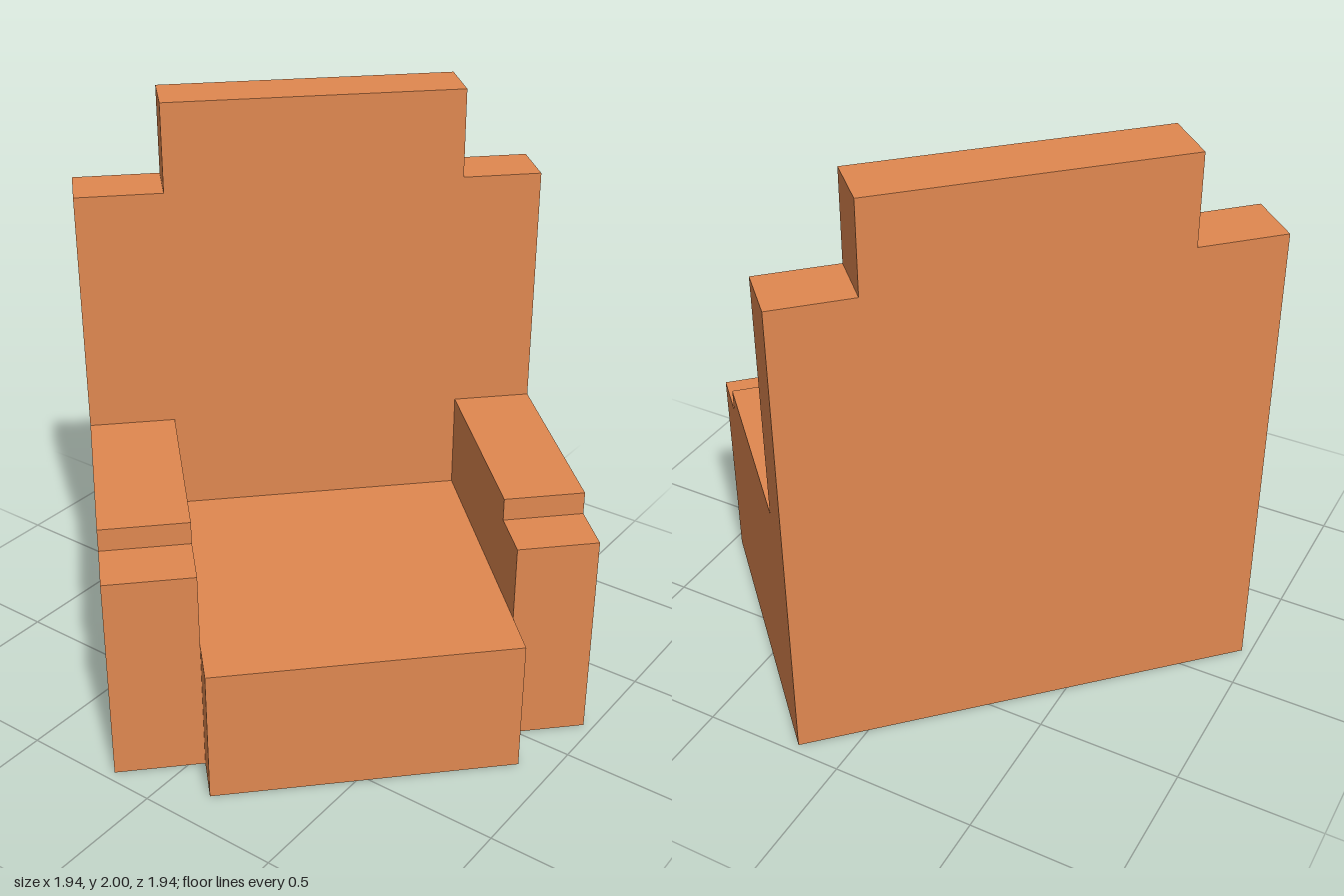
import * as THREE from 'three';

const material = new THREE.MeshStandardMaterial({ color: 0xe08850, flatShading: true });

// Chair-space measures: x across the width, z towards the sitter's front
const OUTER = 0.806;                  // outer faces of back and arms
const SEAT_R = -0.504, SEAT_L = 0.53; // inner faces of the arms
const BACK = -0.566, BACK_FRONT = -0.357;
const BASE = 0.005;

// Solid from a flat outline, extruded along +z
function slab(name, points, depth) {
  const shape = new THREE.Shape(points.map(([x, y]) => new THREE.Vector2(x, y)));
  const geometry = new THREE.ExtrudeGeometry(shape, { depth, bevelEnabled: false });
  const mesh = new THREE.Mesh(geometry, material);
  mesh.name = name;
  return mesh;
}

// Arm: stepped side profile (z, y) swept across the width from x0 to x1
function arm(name, x0, x1, stepZ) {
  const mesh = slab(name, [
    [BACK_FRONT, BASE], [0.562, BASE], [0.562, 0.747],
    [stepZ, 0.747], [stepZ, 0.827], [BACK_FRONT, 0.827],
  ], x1 - x0);
  mesh.rotation.y = -Math.PI / 2;
  mesh.position.x = x1;
  return mesh;
}

export function createModel() {
  const model = new THREE.Group();
  model.name = 'armchair';

  // Backrest with a narrower raised top
  const back = slab('backrest', [
    [-OUTER, BASE], [OUTER, BASE], [OUTER, 1.688], [SEAT_L, 1.688],
    [SEAT_L, 2], [SEAT_R, 2], [SEAT_R, 1.688], [-OUTER, 1.688],
  ], BACK_FRONT - BACK);
  back.position.z = BACK;

  // Seat block, reaching past the arms in front
  const seat = slab('seat', [
    [SEAT_R, BASE], [SEAT_L, BASE], [SEAT_L, 0.48], [SEAT_R, 0.48],
  ], 0.728 - BACK_FRONT);
  seat.position.z = BACK_FRONT;

  model.add(
    back,
    seat,
    arm('rightArm', -OUTER, SEAT_R, 0.361),
    arm('leftArm', SEAT_L, OUTER, 0.376),
  );

  // The chair stands turned diagonally
  model.rotation.y = Math.PI / 4;
  const root = new THREE.Group();
  root.name = 'turnedArmchair';
  root.add(model);
  return root;
}
